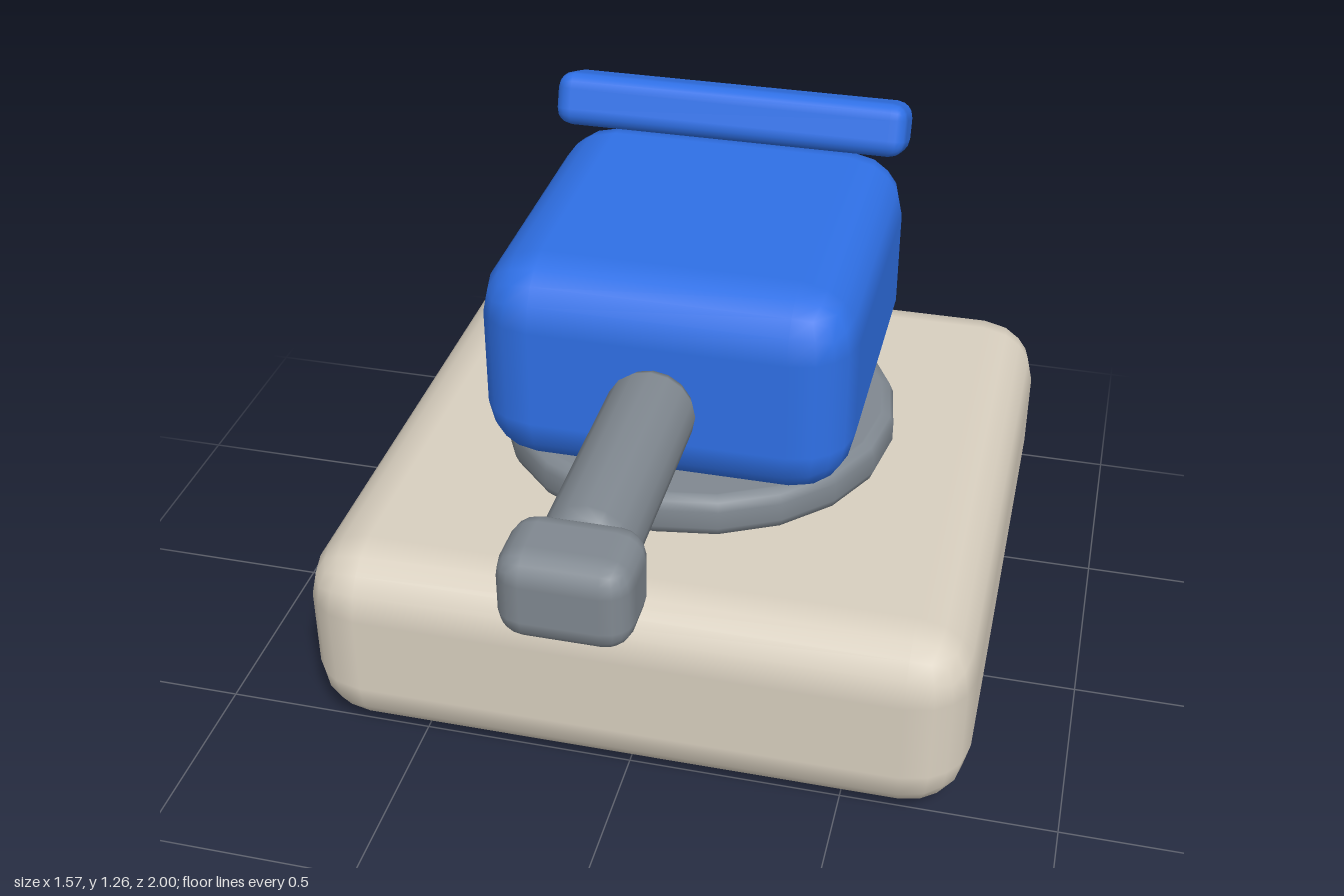
import * as THREE from 'three';
import { RoundedBoxGeometry } from 'three/addons/geometries/RoundedBoxGeometry.js';

const mat = (color) => new THREE.MeshStandardMaterial({ color });

export function createModel() {
  const model = new THREE.Group();
  const beige = mat(0xd8cfbf), blue = mat(0x2f70e6), steel = mat(0x808890);

  function add(name, geometry, material, x, y, z) {
    const mesh = new THREE.Mesh(geometry, material);
    mesh.name = name;
    mesh.position.set(x, y, z);
    model.add(mesh);
    return mesh;
  }

  // cylinder along y with rounded rims, centred on its middle
  function roundedCylinder(radius, height, rim, sides) {
    const points = [new THREE.Vector2(0, -height / 2), new THREE.Vector2(radius - rim - 0.005, -height / 2)];
    for (const end of [-1, 1]) {
      for (let i = 0; i <= 2; i++) {
        const a = (end < 0 ? i - 2 : i) * Math.PI / 4;
        points.push(new THREE.Vector2(
          radius - rim + rim * Math.cos(a),
          end * (height / 2 - rim) + rim * Math.sin(a)));
      }
    }
    points.push(new THREE.Vector2(radius - rim - 0.005, height / 2), new THREE.Vector2(0, height / 2));
    return new THREE.LatheGeometry(points, sides);
  }

  // heavy base block
  add('base', new RoundedBoxGeometry(1.565, 0.49, 1.565, 2, 0.145), beige, 0, 0.245, -0.2175);

  // swivel disc between base and housing
  add('turntable', roundedCylinder(0.485, 0.105, 0.03, 20), steel, 0, 0.541, -0.2175);

  // turret housing
  add('housing', new RoundedBoxGeometry(0.87, 0.52, 0.905, 2, 0.14), blue, 0, 0.852, -0.2175);

  // tilted bar at the rear of the roof
  const bar = add('rearBar', new RoundedBoxGeometry(0.87, 0.13, 0.17, 2, 0.04), blue, 0, 1.185, -0.565);
  bar.rotation.x = THREE.MathUtils.degToRad(-20);

  // forward barrel and its block-shaped tip
  const barrel = add('barrel', roundedCylinder(0.102, 0.59, 0.04, 16), steel, 0, 0.838, 0.53);
  barrel.rotation.x = Math.PI / 2;
  add('muzzle', new RoundedBoxGeometry(0.28, 0.205, 0.2, 2, 0.06), steel, 0, 0.838, 0.9);

  return model;
}
